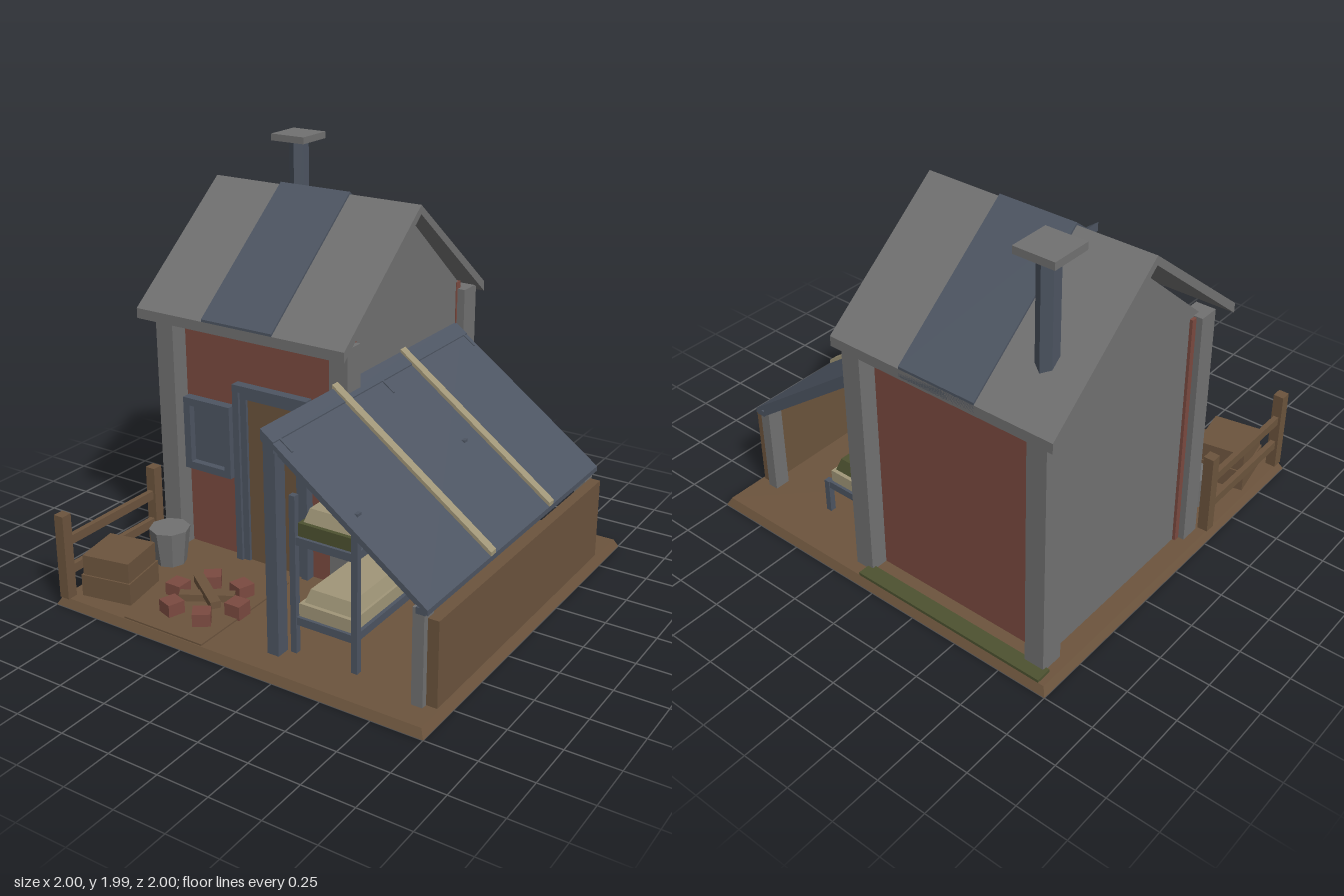
import * as THREE from 'three';

export function createModel() {
  const model = new THREE.Group();
  model.name = 'cabin';
  const mat = (name, color) => {
    const m = new THREE.MeshStandardMaterial({ color });
    m.name = name;
    return m;
  };
  const stone = mat('grey stone', 0x717171);
  const metal = mat('blue grey', 0x4d5562);
  const brick = mat('brick red', 0x7b4a40);
  const wood = mat('brown wood', 0x6c543d);
  const cloth = mat('tan cloth', 0xa09678);
  const moss = mat('moss green', 0x4d5230);

  const add = (name, geo, material) => {
    const m = new THREE.Mesh(geo, material);
    m.name = name;
    model.add(m);
    return m;
  };
  // Box given by its limits on each axis
  const box = (name, material, x0, x1, y0, y1, z0, z1) => {
    const m = add(name, new THREE.BoxGeometry(x1 - x0, y1 - y0, z1 - z0), material);
    m.position.set((x0 + x1) / 2, (y0 + y1) / 2, (z0 + z1) / 2);
    return m;
  };
  // Box whose top face is drawn in by an inset
  const tapered = (name, material, x0, x1, y0, y1, z0, z1, inset) => {
    const m = box(name, material, x0, x1, y0, y1, z0, z1);
    const p = m.geometry.attributes.position;
    for (let i = 0; i < p.count; i++) {
      if (p.getY(i) > 0) {
        p.setX(i, p.getX(i) - Math.sign(p.getX(i)) * inset);
        p.setZ(i, p.getZ(i) - Math.sign(p.getZ(i)) * inset);
      }
    }
    m.geometry.computeVertexNormals();
    return m;
  };
  // Upright faceted cylinder
  const faceted = (name, material, rTop, rBottom, sides, x, z, y0, y1) => {
    const geo = new THREE.CylinderGeometry(rTop, rBottom, y1 - y0, sides).toNonIndexed();
    geo.computeVertexNormals();
    add(name, geo, material).position.set(x, (y0 + y1) / 2, z);
  };
  const extrude = (pts, depth) => new THREE.ExtrudeGeometry(
    new THREE.Shape(pts.map(([a, b]) => new THREE.Vector2(a, b))), { depth, bevelEnabled: false });
  // Outline in (z, y), running along x
  const prismX = (name, material, pts, x0, x1) =>
    add(name, extrude(pts, x1 - x0).rotateY(-Math.PI / 2).translate(x1, 0, 0), material);
  // Outline in (x, y), running along z
  const prismZ = (name, material, pts, z0, z1) =>
    add(name, extrude(pts, z1 - z0).translate(0, 0, z0), material);

  // Ground
  tapered('ground', wood, -1, 1, 0, 0.04, -1, 1, 0.02);
  box('yardFloor', wood, -0.6, -0.15, 0.038, 0.048, 0.3, 0.975);
  box('mossStrip', moss, -0.95, 0.1, 0.04, 0.055, -0.98, -0.9);

  // House walls and corner pillars
  box('frontWall', brick, -0.9, 0.13, 0.04, 1.28, 0.14, 0.18);
  box('backWall', brick, -0.9, 0.13, 0.04, 1.32, -0.83, -0.79);
  for (const [x0, x1] of [[-0.93, -0.83], [0.07, 0.17]]) {
    box('frontPillar', stone, x0, x1, 0.04, 1.285, 0.17, 0.275);
    box('backPillar', stone, x0, x1, 0.04, 1.285, -0.92, -0.8);
  }
  const gable = [[-0.8, 0.04], [0.15, 0.04], [0.15, 1.27], [0.21, 1.285], [-0.32, 1.75], [-0.85, 1.285], [-0.8, 1.27]];
  prismX('gableWall', stone, gable, -0.885, -0.84);
  prismX('gableWall', stone, gable, 0.08, 0.125);

  // Main roof with raised middle strip
  const roofSide = (dir, up) => [[-0.3, 1.78 + up], [-0.3 + dir * 0.65, 1.25 + up],
    [-0.3 + dir * 0.65, 1.3 + up], [-0.3, 1.824 + up]];
  for (const dir of [1, -1]) {
    prismX('roofSlope', stone, roofSide(dir, 0), -0.98, 0.2);
    prismX('roofStrip', metal, roofSide(dir, 0.012), -0.59, -0.19);
  }

  // Chimney
  faceted('chimney', metal, 0.05, 0.05, 6, -0.778, -0.727, 1.42, 1.96);
  box('chimneyCap', stone, -0.88, -0.68, 1.955, 1.99, -0.825, -0.625);

  // Door
  box('door', wood, -0.45, -0.16, 0.04, 0.9, 0.17, 0.2);
  const frame = (name, x0, x1, top, w, z) => {
    box(name, metal, x0, x0 + w, 0.04, top, 0.17, z);
    box(name, metal, x1 - w, x1, 0.04, top, 0.17, z);
    box(name, metal, x0 + w, x1 - w, top - w, top, 0.17, z);
  };
  frame('doorFrameOuter', -0.517, -0.09, 0.968, 0.035, 0.23);
  frame('doorFrameInner', -0.482, -0.125, 0.933, 0.035, 0.215);

  // Windows, made facing front about their own centre
  const addWindow = (w, h) => {
    const g = new THREE.Group();
    g.name = 'window';
    const t = 0.038;
    const part = (name, a, b, d, x, y) => {
      const m = new THREE.Mesh(new THREE.BoxGeometry(a, b, d), metal);
      m.name = name;
      m.position.set(x, y, d / 2);
      g.add(m);
    };
    part('windowPane', w - t, h - t, 0.015, 0, 0);
    for (const s of [-1, 1]) {
      part('windowFrame', t, h, 0.05, s * (w - t) / 2, 0);
      part('windowFrame', w - 2 * t, t, 0.05, 0, s * (h - t) / 2);
    }
    model.add(g);
    return g;
  };
  addWindow(0.28, 0.375).position.set(-0.68, 0.653, 0.18);
  const sideWindow = addWindow(0.47, 0.46);
  sideWindow.rotation.y = Math.PI / 2;
  sideWindow.position.set(0.125, 0.695, -0.375);

  // Lean-to shelter: y falls along x
  const slopeY = x => 1.1 - (x - 0.13) * 0.735;
  const slab = (x0, x1, low, high) => [[x0, slopeY(x0) + low], [x1, slopeY(x1) + low],
    [x1, slopeY(x1) + high], [x0, slopeY(x0) + high]];
  prismZ('shelterRoof', metal, slab(0.16, 0.935, -0.025, 0), -0.8, 0.87);
  for (const z of [-0.8, -0.02, 0.79]) {
    prismZ('rafter', metal, slab(0.17, 0.88, -0.065, -0.025), z, z + 0.05);
    prismZ('rafterTip', metal, slab(0.19, 0.25, -0.02, 0.006), z + 0.02, z + 0.032);
  }
  for (const z of [-0.3, 0.28]) prismZ('roofStrap', cloth, slab(0.12, 0.935, 0, 0.02), z, z + 0.045);
  prismZ('ridgeBeam', metal, slab(0.125, 0.19, -0.045, 0.006), -0.8, 0.87);
  box('eaveBeam', metal, 0.88, 0.925, 0.48, 0.51, -0.8, 0.87);
  box('tallPost', metal, 0.13, 0.19, 0.04, 1.05, 0.79, 0.86);
  for (const z of [-0.79, 0.78]) box('shortPost', stone, 0.86, 0.915, 0.04, 0.5, z, z + 0.08);
  box('lowWall', wood, 0.915, 0.968, 0.04, 0.45, -0.77, 0.83);

  // Bunk bed in front, low cot behind it
  const bed = (z0, z1, postTop, decks) => {
    for (const x of [0.21, 0.525]) for (const z of [z0, z1 - 0.03])
      box('bedPost', metal, x, x + 0.03, 0.04, postTop, z, z + 0.03);
    for (const [y, base, top] of decks) {
      box('bedFrame', metal, 0.225, 0.54, y, y + 0.038, z0 + 0.005, z1 - 0.005);
      box('mattress', base, 0.243, 0.522, y + 0.038, y + 0.1, z0 + 0.02, z1 - 0.02);
      tapered('bedding', top, 0.258, 0.51, y + 0.1, y + 0.162, z0 + 0.04, z1 - 0.04, 0.02);
    }
  };
  bed(-0.15, 0.795, 0.8, [[0.182, cloth, cloth], [0.57, moss, cloth]]);
  bed(-0.74, -0.19, 0.22, [[0.182, cloth, moss]]);

  // Fence on the left edge
  for (const z of [0.29, 0.935]) box('fencePost', wood, -0.985, -0.932, 0.04, 0.468, z, z + 0.055);
  for (const y of [0.15, 0.3]) box('fenceRail', wood, -0.972, -0.945, y, y + 0.045, 0.3, 0.96);

  // Crate in two layers
  const crate = (name, s, y0, y1) => {
    box(name, wood, -0.8 - s / 2, -0.8 + s / 2, y0, y1, 0.77 - s / 2, 0.77 + s / 2).rotation.y = 0.18;
  };
  crate('crate', 0.262, 0.04, 0.15);
  crate('crateLid', 0.246, 0.15, 0.25);

  // Bucket
  faceted('bucket', stone, 0.102, 0.078, 8, -0.778, 0.425, 0.04, 0.225);

  // Campfire
  for (let i = 0; i < 6; i++) {
    const a = i * Math.PI / 3;
    const m = add('fireStone', new THREE.BoxGeometry(0.085, 0.07, 0.085), brick);
    m.position.set(-0.355 + Math.cos(a) * 0.175, 0.075, 0.67 + Math.sin(a) * 0.175);
    m.rotation.y = -a + (i % 3) * 0.1;
  }
  [[-0.62, 0.28, 0.11], [0.52, 0.26, 0.085]].forEach(([turn, len, y]) => {
    const m = add('log', new THREE.BoxGeometry(len, 0.035, 0.05), wood);
    m.position.set(-0.355, y, 0.67);
    m.rotation.y = turn;
  });
  return model;
}
